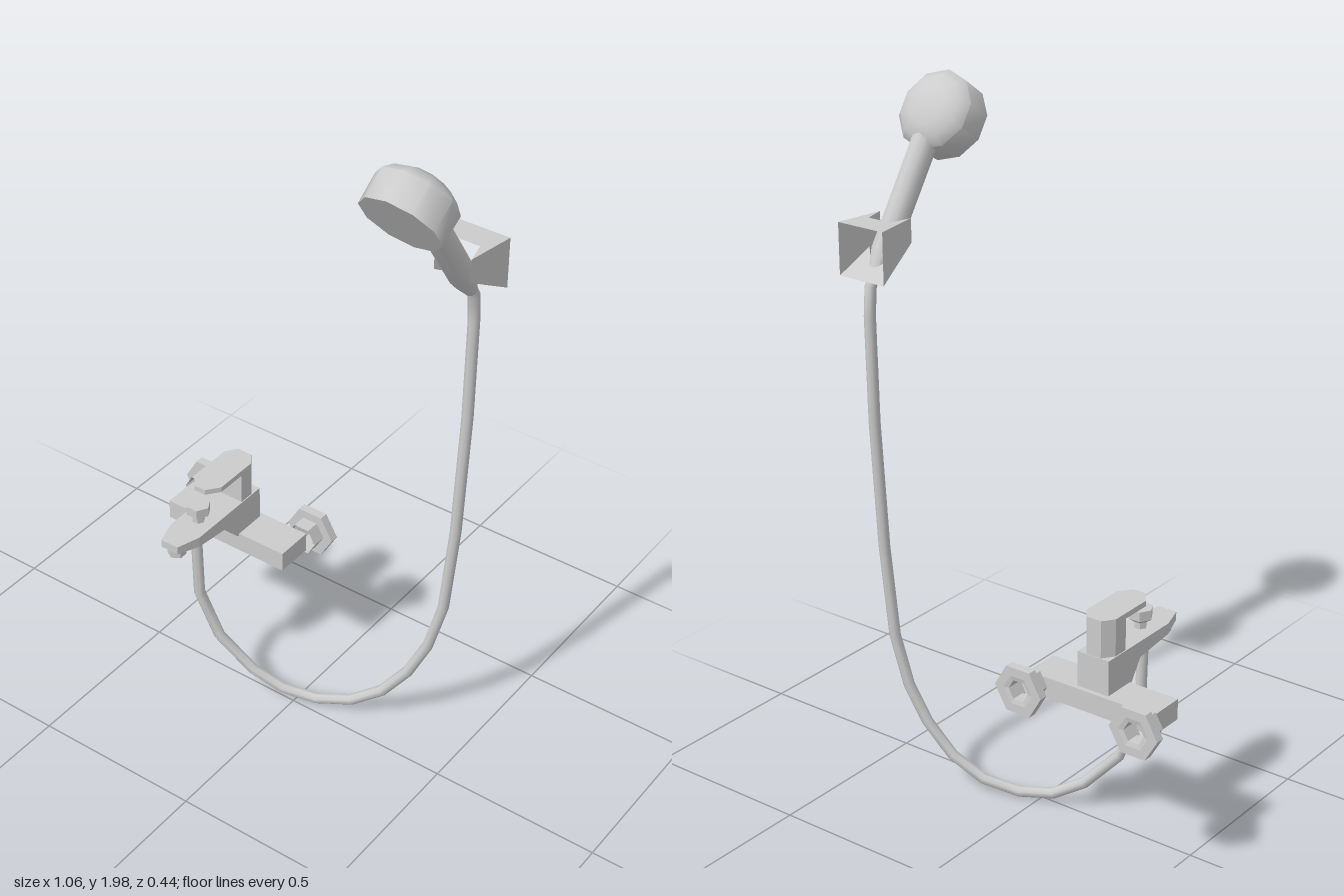
import * as THREE from 'three';
import { toCreasedNormals } from 'three/addons/utils/BufferGeometryUtils.js';

const flat = new THREE.MeshStandardMaterial({ color: 0xcccccc, flatShading: true, side: THREE.DoubleSide });
const smooth = new THREE.MeshStandardMaterial({ color: 0xcccccc, side: THREE.DoubleSide });

// Hose path whose tube rings fall exactly on its control points
class HosePath extends THREE.CatmullRomCurve3 {
  getPointAt(t, target) { return this.getPoint(t, target); }
  getTangentAt(t, target) { return this.getTangent(t, target); }
}

function add(parent, name, geometry, x = 0, y = 0, z = 0, material = flat) {
  const mesh = new THREE.Mesh(geometry, material);
  mesh.name = name;
  mesh.position.set(x, y, z);
  parent.add(mesh);
  return mesh;
}

const lathe = (points, sides, start = 0) =>
  new THREE.LatheGeometry(points.map(([r, y]) => new THREE.Vector2(r, y)), sides, start);

// Flat plate from an outline of [x, z] corners, raised from y = 0
function plate(outline, height) {
  const shape = new THREE.Shape(outline.map(([x, z]) => new THREE.Vector2(x, -z)));
  return new THREE.ExtrudeGeometry(shape, { depth: height, bevelEnabled: false }).rotateX(-Math.PI / 2);
}

// Spout: a box whose slices follow stations of [z, half width, bottom y]
function spoutGeometry() {
  const stations = [[-0.14, 0.05, 0.49], [-0.035, 0.05, 0.49], [0.005, 0.05, 0.55],
    [0.135, 0.05, 0.565], [0.205, 0.028, 0.573]];
  const n = stations.length - 1;
  const geometry = new THREE.BoxGeometry(1, 1, 1, 1, 1, n);
  const p = geometry.attributes.position;
  for (let i = 0; i < p.count; i++) {
    const [z, half, bottom] = stations[Math.round((p.getZ(i) + 0.5) * n)];
    p.setXYZ(i, Math.sign(p.getX(i)) * half, p.getY(i) > 0 ? 0.597 : bottom, z);
  }
  geometry.computeVertexNormals();
  return geometry;
}

function createMixer() {
  const mixer = new THREE.Group();
  mixer.name = 'mixerTap';
  const cx = -0.272;

  add(mixer, 'bar', new THREE.BoxGeometry(0.406, 0.06, 0.112), cx, 0.465, -0.098);

  // Hollow hexagonal wall flange with its nut
  const flange = lathe([[0.032, 0.042], [0.032, 0.003], [0.047, 0], [0.076, 0],
    [0.076, 0.026], [0.047, 0.026], [0.047, 0.068]], 6, Math.PI / 6).rotateX(Math.PI / 2).rotateZ(0);
  flange.computeBoundingBox();
  const wide = flange.boundingBox.max.x > 0.07;
  if (!wide) flange.rotateZ(Math.PI / 6);
  for (const side of [-1, 1]) add(mixer, 'wallFlange', flange, cx + side * 0.186, 0.467, -0.222);

  add(mixer, 'spout', spoutGeometry(), cx);
  add(mixer, 'spoutOutlet', new THREE.CylinderGeometry(0.027, 0.027, 0.03, 6), cx, 0.56, 0.174);

  // Lever and the post below it share the same chamfered back
  const back = [[0.047, -0.105], [0.023, -0.138], [-0.023, -0.138], [-0.047, -0.105]];
  add(mixer, 'leverPost', plate([...back, [-0.047, -0.06], [0.047, -0.06]], 0.1), cx, 0.595);
  add(mixer, 'lever', plate([...back, [-0.047, 0.03], [-0.018, 0.067], [0.018, 0.067], [0.047, 0.03]], 0.016), cx, 0.689);

  // Diverter knob
  add(mixer, 'diverterKnob', lathe([[0.018, 0], [0.018, 0.02], [0.035, 0.032], [0.035, 0.06], [0, 0.06]], 6, Math.PI / 6),
    cx, 0.595, 0.075);
  add(mixer, 'hoseConnector', new THREE.CylinderGeometry(0.022, 0.022, 0.025, 6), cx, 0.555, 0.083);
  return mixer;
}

function createHandset() {
  const handset = new THREE.Group();
  handset.name = 'handset';
  const head = lathe([[0, 0], [0.111, 0], [0.113, 0.084], [0.09, 0.108], [0.058, 0.124], [0, 0.128]], 10);
  add(handset, 'showerHead', toCreasedNormals(head, 0.85), 0, 0, 0, smooth);

  // Handle tapers into the hose at its lower end
  const handle = lathe([[0, -0.475], [0.018, -0.475], [0.036, -0.4], [0.037, -0.06], [0, -0.06]], 10);
  handle.rotateX(Math.PI / 2);
  add(handset, 'handle', toCreasedNormals(handle, 0.7), 0, 0.077, 0, smooth);

  handset.position.set(0.42, 1.85, 0.158);
  handset.rotation.x = -0.978;
  return handset;
}

// Wall holder: tapered fork, open at the back, with a sloping underside
function createHolder() {
  const holder = new THREE.Group();
  holder.name = 'wallHolder';
  holder.position.x = 0.418;
  const top = () => 1.652;
  const bottom = z => 1.507 + (z + 0.222) * 0.56;
  const half = [[0.075, -0.222], [0.053, -0.082], [0.037, -0.145]];
  const outline = [...half, ...half.map(([x, z]) => [-x, z]).reverse()];

  for (const [name, height] of [['holderTop', top], ['holderUnderside', bottom]]) {
    const cap = new THREE.ShapeGeometry(new THREE.Shape(outline.map(([x, z]) => new THREE.Vector2(x, z))));
    const p = cap.attributes.position;
    for (let i = 0; i < p.count; i++) {
      const z = p.getY(i);
      p.setXYZ(i, p.getX(i), height(z), z);
    }
    cap.computeVertexNormals();
    add(holder, name, cap);
  }

  // Outer and inner walls of both prongs
  for (const side of [1, -1]) {
    for (let k = 0; k < 2; k++) {
      const wall = new THREE.PlaneGeometry(1, 1);
      const p = wall.attributes.position;
      for (let i = 0; i < 4; i++) {
        const [x, z] = half[p.getX(i) < 0 ? k : k + 1];
        p.setXYZ(i, side * x, p.getY(i) > 0 ? top() : bottom(z), z);
      }
      wall.computeVertexNormals();
      add(holder, 'holderWall', wall);
    }
  }
  return holder;
}

function createHose() {
  const points = [[-0.275, 0.57, 0.085], [-0.273, 0.34, 0.08], [-0.22, 0.19, 0.06], [-0.125, 0.085, 0.028],
    [-0.04, 0.035, -0.002], [0.055, 0.022, -0.034], [0.155, 0.045, -0.07], [0.24, 0.105, -0.1],
    [0.31, 0.2, -0.124], [0.36, 0.31, -0.142], [0.397, 0.46, -0.154], [0.417, 0.73, -0.165],
    [0.423, 1.1, -0.183], [0.422, 1.4, -0.19], [0.42, 1.48, -0.186], [0.42, 1.53, -0.155]];
  const path = new HosePath(points.map(p => new THREE.Vector3(...p)));
  const mesh = new THREE.Mesh(new THREE.TubeGeometry(path, points.length - 1, 0.016, 8), smooth);
  mesh.name = 'hose';
  return mesh;
}

export function createModel() {
  const model = new THREE.Group();
  model.name = 'bathShowerMixer';
  model.add(createMixer(), createHose(), createHolder(), createHandset());
  return model;
}
